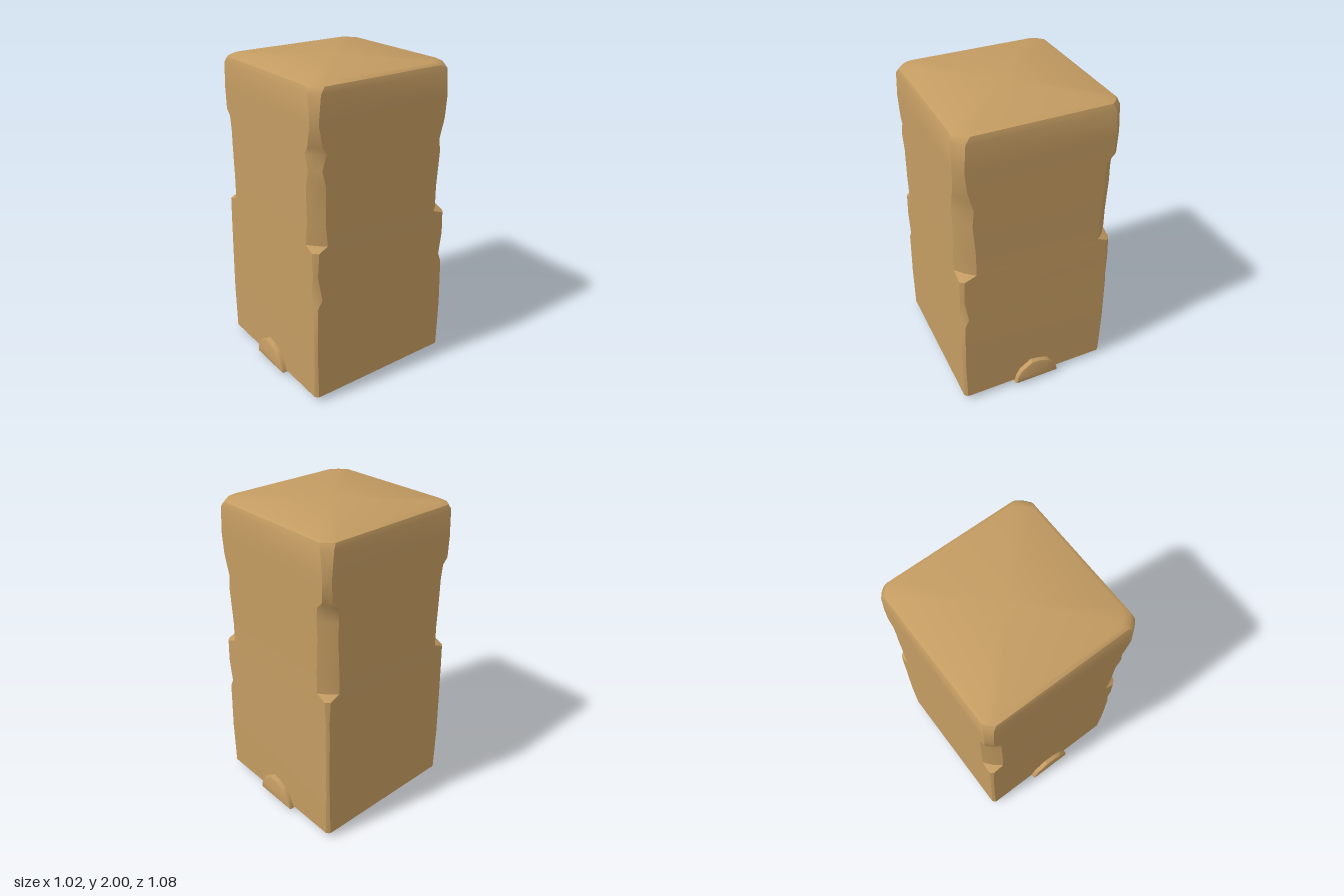
import * as THREE from 'three';
import { toCreasedNormals } from 'three/addons/utils/BufferGeometryUtils.js';

const tan = new THREE.MeshStandardMaterial({ color: 0xc49c62 });
tan.name = 'tan';

// Each level: height, half width, then the chamfer of the corners
// (+x+z), (+x-z), (-x-z), (-x+z)
const LEVELS = [
  [0.01, 0.485, 0.03, 0.03, 0.03, 0.03],
  [0.035, 0.508, 0.02, 0.02, 0.02, 0.02],
  [0.35, 0.508, 0.015, 0.015, 0.015, 0.015],
  [0.67, 0.504, 0.02, 0.02, 0.015, 0.015],
  [0.72, 0.503, 0.05, 0.045, 0.02, 0.015],
  [0.88, 0.501, 0.02, 0.02, 0.015, 0.015],
  [1.03, 0.5, 0.03, 0.025, 0.025, 0.02],
  [1.06, 0.499, 0.09, 0.1, 0.09, 0.09],
  [1.2, 0.498, 0.075, 0.1, 0.09, 0.09],
  [1.42, 0.498, 0.08, 0.085, 0.08, 0.085],
  [1.52, 0.498, 0.055, 0.095, 0.085, 0.085],
  [1.61, 0.498, 0.085, 0.07, 0.08, 0.075],
  [1.65, 0.498, 0.06, 0.06, 0.04, 0.04],
  [1.78, 0.498, 0.035, 0.05, 0.035, 0.035],
  [1.94, 0.496, 0.05, 0.06, 0.05, 0.04],
  [1.975, 0.485, 0.07, 0.08, 0.06, 0.05],
  [1.99, 0.46, 0.08, 0.09, 0.07, 0.06],
];
const CORNERS = [[1, 1], [1, -1], [-1, -1], [-1, 1]];

// Square outline with a slightly bowed chamfer at every corner
function ring([y, h, ...cuts]) {
  return CORNERS.flatMap(([sx, sz], i) => {
    const c = cuts[i];
    const a = [sx * (h - c), y, sz * h];
    const m = [sx * (h - c * 0.45), y, sz * (h - c * 0.45)];
    const b = [sx * h, y, sz * (h - c)];
    return sx * sz > 0 ? [a, m, b] : [b, m, a];
  });
}

function blockGeometry() {
  const rings = LEVELS.map(ring);
  const n = rings[0].length;
  const pos = rings.flat(2);
  const index = [];
  for (let r = 0; r < rings.length - 1; r++) {
    for (let i = 0; i < n; i++) {
      const a = r * n + i, b = r * n + (i + 1) % n;
      index.push(a, a + n, b, b, a + n, b + n);
    }
  }
  // Gently domed caps
  const low = rings.length * n, high = low + 1, last = (rings.length - 1) * n;
  pos.push(0, 0, 0, 0, 2, 0);
  for (let i = 0; i < n; i++) {
    const j = (i + 1) % n;
    index.push(low, i, j, high, last + j, last + i);
  }
  const g = new THREE.BufferGeometry();
  g.setAttribute('position', new THREE.Float32BufferAttribute(pos, 3));
  g.setIndex(index);
  // Keep the winding outward whatever the corner order
  for (let k = 0; k < index.length; k += 3) {
    const [p, q, s] = [0, 1, 2].map(d => new THREE.Vector3().fromArray(pos, index[k + d] * 3));
    const mid = p.clone().add(q).add(s).divideScalar(3).sub(new THREE.Vector3(0, 1, 0));
    mid.y *= 0.5;
    if (q.sub(p).cross(s.sub(p)).dot(mid) < 0) {
      [index[k + 1], index[k + 2]] = [index[k + 2], index[k + 1]];
    }
  }
  g.setIndex(index);
  return toCreasedNormals(g, 0.65);
}

// Rough half-round knob at the foot of a face
function knobGeometry() {
  const outline = [
    [-0.15, 0.02], [-0.14, 0.08], [-0.11, 0.13], [-0.06, 0.165], [-0.035, 0.185],
    [0.03, 0.175], [0.09, 0.15], [0.13, 0.1], [0.155, 0.05], [0.16, 0.02],
  ].map(([x, y]) => new THREE.Vector2(x, y));
  const g = new THREE.ExtrudeGeometry(new THREE.Shape(outline), {
    depth: 0.06, bevelEnabled: true, bevelThickness: 0.012,
    bevelSize: 0.012, bevelOffset: -0.012, bevelSegments: 2,
  });
  return toCreasedNormals(g.translate(0, 0, 0.468), 0.6);
}

export function createModel() {
  const model = new THREE.Group();
  model.name = 'block';

  const block = new THREE.Mesh(blockGeometry(), tan);
  block.name = 'chippedBlock';
  model.add(block);

  const knob = knobGeometry();
  ['frontKnob', 'backKnob'].forEach((name, i) => {
    const mesh = new THREE.Mesh(knob, tan);
    mesh.name = name;
    mesh.rotation.y = i * Math.PI;
    model.add(mesh);
  });
  return model;
}
